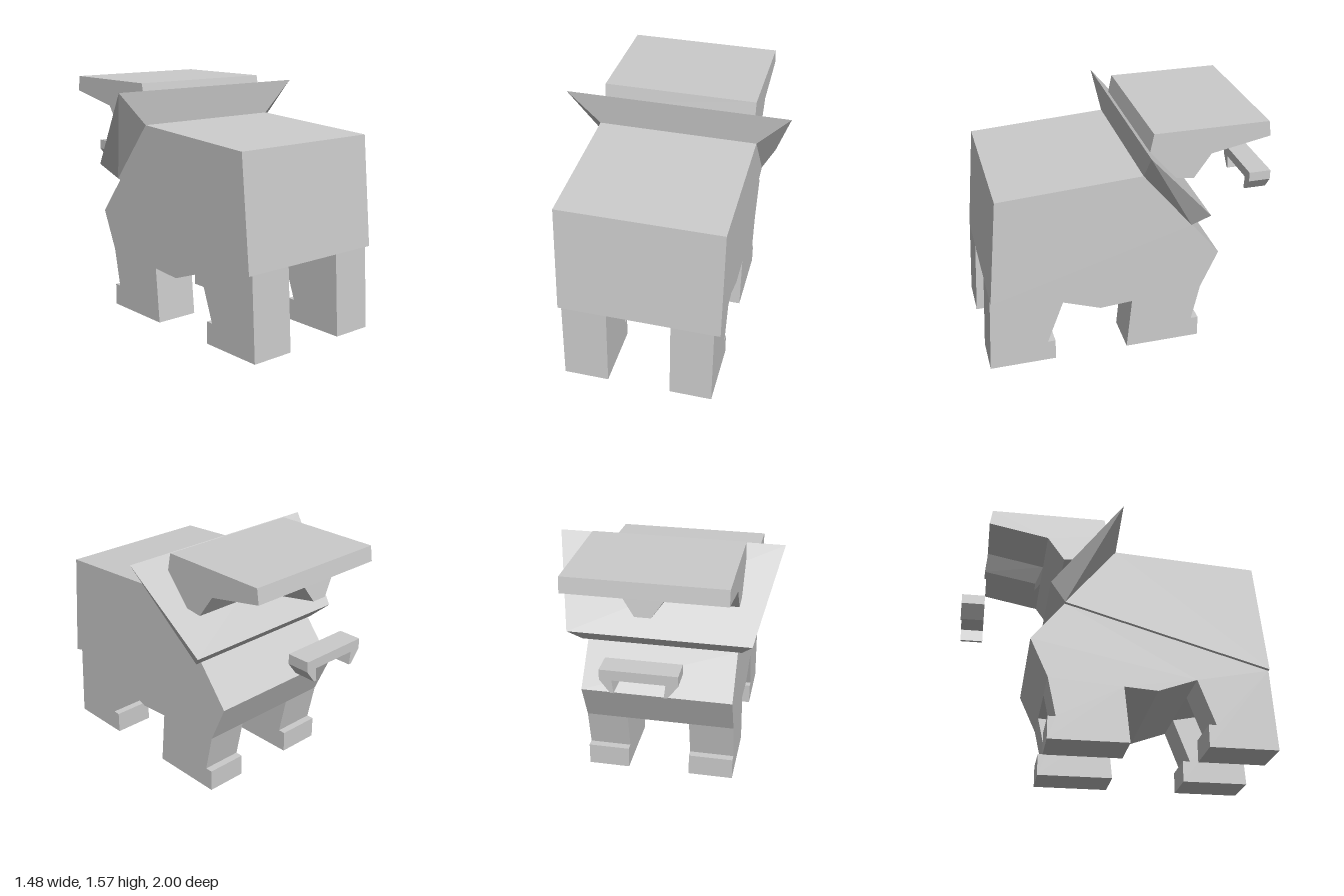
import * as THREE from 'three';
import { ConvexGeometry } from 'three/addons/geometries/ConvexGeometry.js';

const material = new THREE.MeshStandardMaterial({ color: 0xcccccc, flatShading: true });

function toShape(points) {
  return new THREE.Shape(points.map(([a, b]) => new THREE.Vector2(a, b)));
}

// Side profile of [z, y] points, extruded across the width from x0 to x1
function sideSlab(profile, x0, x1) {
  const shape = toShape(profile.map(([z, y]) => [-z, y]));
  return new THREE.ExtrudeGeometry(shape, { depth: x1 - x0, bevelEnabled: false })
    .rotateY(Math.PI / 2)
    .translate(x0, 0, 0);
}

// Convex solid from mirrored corners, each given as [half width, y, z]
function mirroredHull(corners) {
  return new ConvexGeometry(corners.flatMap(([x, y, z]) => [
    new THREE.Vector3(x, y, z), new THREE.Vector3(-x, y, z),
  ]));
}

export function createModel() {
  const model = new THREE.Group();
  const add = (name, geometry) => {
    const mesh = new THREE.Mesh(geometry, material);
    mesh.name = name;
    model.add(mesh);
  };

  // Broad upper body
  add('upperBody', sideSlab(
    [[0.9, 1.255], [-0.02, 1.31], [-0.345, 0.915], [0.97, 0.535]], -0.525, 0.525));

  // Chest and belly, slightly narrower
  add('lowerBody', sideSlab(
    [[0.97, 0.535], [-0.345, 0.915], [-0.555, 0.655], [-0.44, 0.4],
      [0.035, 0.365], [0.25, 0.35], [0.5, 0.44]], -0.5, 0.485));

  // Legs with a stepped foot
  const plusZLeg = [[0.97, 0.535], [1, 0], [0.56, 0], [0.56, 0.145], [0.61, 0.145], [0.5, 0.44]];
  const minusZLeg = [[0.035, 0.365], [0.07, 0], [-0.435, 0], [-0.435, 0.145], [-0.385, 0.145], [-0.44, 0.4]];
  for (const [side, x0, x1] of [['right', -0.5, -0.205], ['left', 0.21, 0.485]]) {
    add(side + 'HindLeg', sideSlab(plusZLeg, x0, x1));
    add(side + 'ForeLeg', sideSlab(minusZLeg, x0, x1));
  }

  // Flared mane collar
  add('collar', mirroredHull([
    [0.525, 1.31, -0.02], [0.525, 0.915, -0.345],
    [0.74, 1.53, 0], [0.6, 1.01, -0.445],
  ]));

  // Head with overhanging brow
  add('head', sideSlab(
    [[-0.09, 1.57], [-0.835, 1.57], [-0.85, 1.47], [-0.465, 1.395],
      [-0.355, 1.24], [-0.24, 1.253], [-0.065, 1.45]], -0.5, 0.5));

  // Tapered nose ridge beneath the brow
  add('noseRidge', mirroredHull([
    [0.12, 1.47, -0.848], [0.12, 1.395, -0.465],
    [0.05, 1.365, -0.862], [0.05, 1.3, -0.51],
  ]));

  // Mouth bracket: a bar with two tapered ends
  const half = [[0.235, 1.075], [0.235, 1.01], [0.17, 0.925], [0.15, 0.925], [0.16, 1.01]];
  const mirrored = half.map(([x, y]) => [-x, y]).reverse();
  add('mouth', new THREE.ExtrudeGeometry(toShape([...half, ...mirrored]),
    { depth: 0.15, bevelEnabled: false }).translate(0, 0, -1));

  return model;
}
